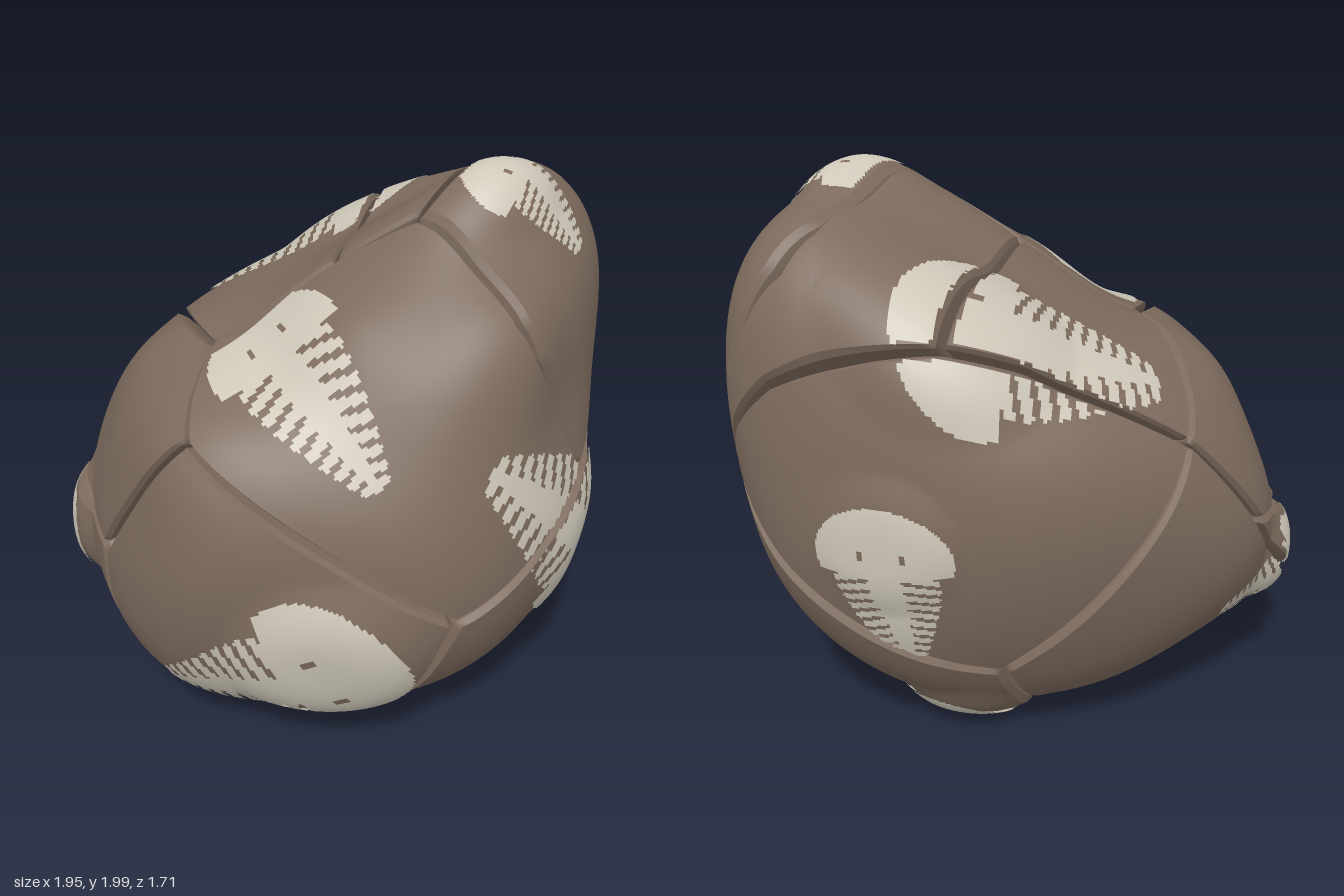
import * as THREE from 'three';
import { mergeGeometries } from 'three/addons/utils/BufferGeometryUtils.js';

const V = (a) => new THREE.Vector3(...a);
const CENTRE = V([0, 0.95, 0]);
const dirOf = (p) => p.clone().sub(CENTRE).normalize();

// Junctions where the cracks meet
const J = {
  A: [-0.46, 1.24, 0.58], B: [0.28, 1.83, 0.13], C: [0.86, 0.98, 0.29], D: [0.42, 0.67, 0.76],
  E: [-0.4, 1.39, 0.16], F: [-0.55, 1.18, -0.51], G: [0.02, 1.67, 0.1], H: [0.95, 1.06, -0.4],
  I: [0.22, 1.55, -0.69], L: [-0.78, 0.7, 0.37], M: [0.05, 0.4, -0.68], N: [-0.82, 0.82, -0.37],
  P: [-0.16, 0.03, 0.12], Q: [-0.72, 0.32, 0.34],
};
// Points the cracks pass through between two junctions
const VIA = {
  BC: [[0.46, 1.74, 0.3], [0.61, 1.6, 0.44], [0.67, 1.47, 0.45], [0.74, 1.26, 0.37]],
  BH: [[0.44, 1.86, -0.1], [0.625, 1.86, -0.39], [0.76, 1.74, -0.5], [0.87, 1.56, -0.52], [0.93, 1.35, -0.49]],
  IH: [[0.6, 1.5, -0.675], [0.8, 1.4, -0.61], [0.93, 1.21, -0.5]],
  IF: [[-0.02, 1.47, -0.63]],
  EF: [[-0.53, 1.33, -0.2]],
  CH: [[0.94, 1.03, -0.05]],
  DP: [[0.27, 0.35, 0.67], [0.1, 0.1, 0.45], [-0.01, 0.04, 0.27]],
  HM: [[0.78, 0.78, -0.63]],
  QP: [[-0.56, 0.15, 0.35], [-0.34, 0.06, 0.22]],
  NQ: [[-0.88, 0.46, -0.03]],
};
// Each piece of the boulder: loop of junctions and, if needed, its middle
const PIECES = {
  frontLowerPiece: ['ADPQL'], frontUpperPiece: ['AEGBCD'], rightTopPiece: ['BHC'],
  topLeftPiece: ['EGIF'], topRightPiece: ['GBHI', [0.62, 1.69, -0.57]], rightLowerPiece: ['CHMPD'],
  backUpperPiece: ['IHMF'], leftUpperPiece: ['AEFNL'], leftChipPiece: ['NLQ'], backLowerPiece: ['FNQPM'],
};
// Further points on the boulder, away from the cracks
const HULL = [
  [0.53, 1.98, -0.03], [0.74, 1.87, -0.15], [0.82, 1.76, -0.05], [0.88, 1.62, 0], [0.925, 1.39, -0.05],
  [0.96, 1.18, -0.2], [0.58, 1.77, 0.2], [0.1, 1.24, 0.67], [0.05, 1.59, 0.4], [-0.2, 1.38, 0.44],
  [0.35, 1, 0.76], [0.3, 1.59, 0.47], [-0.43, 0.74, 0.74], [-0.1, 0.58, 0.75], [-0.57, 0.36, 0.57],
  [0.1, 0.3, 0.66], [-0.3, 0.14, 0.5], [0.86, 0.55, 0.1], [0.74, 0.28, 0.08], [0.92, 0.8, -0.1],
  [0.7, 0.5, 0.45], [0.5, 0.14, -0.12], [0.25, 0.05, -0.08], [0.2, 1.1, -0.84], [0.55, 0.95, -0.76],
  [0.3, 0.25, -0.58], [0.15, 0.08, -0.35], [-0.25, 0.95, -0.77], [-0.5, 0.75, -0.62], [-0.35, 0.17, -0.35],
  [-0.6, 0.2, -0.05], [-0.65, 1.28, 0], [-0.82, 0.96, 0], [-0.62, 0.95, 0.55], [-0.74, 0.95, -0.43],
  [-0.88, 0.58, 0.08], [-0.2, 1.5, -0.2], [0.28, 1.76, -0.22], [0.5, 1.77, -0.49], [0.72, 1.1, -0.69],
  [-0.25, 1.27, -0.69], [0.3, 1.35, -0.79], [-0.7, 0.45, -0.35], [0.15, 1.7, 0.25],
];
// Fossils: head end, tail end, width, height of the mound, share of the head broken off
const FOSSILS = [
  [[0.25, 0.65, 0.76], [-0.62, 0.22, 0.53], 0.74, 0.07, 0],
  [[-0.35, 1.54, 0.06], [0.19, 1.11, 0.73], 0.46, 0, 0.13],
  [[0.9, 0.51, 0.04], [0.47, 1.22, 0.68], 0.62, 0.03, 0],
  [[0.4, 1.96, -0.01], [0.84, 1.66, 0.05], 0.38, 0.03, 0],
  [[0.39, 1.6, -0.58], [-0.5, 1.32, -0.38], 0.74, 0.04, 0],
  [[0.42, 1.12, -0.83], [0.33, 0.46, -0.72], 0.5, 0.03, 0],
  [[0.02, 0.04, -0.46], [0.62, 0.15, -0.04], 0.52, 0.06, 0],
  [[-0.93, 0.64, 0.1], [-0.76, 0.42, -0.43], 0.42, 0.07, 0],
].map(([a, b, w, rise, cut]) => ({ a: V(a), b: V(b), w, rise, cut, head: dirOf(V(a).lerp(V(b), 0.28)) }));

// Smooth radius over all directions, fitted to the listed points
const anchors = [...Object.values(J), ...Object.values(VIA).flat(), ...HULL].map(V);
const knots = anchors.map(dirOf);
const MEAN = 0.9;
function kernel(a, b) {
  const d = 2 * a.distanceTo(b);
  return (1 + d) * Math.exp(-d);
}
function solve(rows) {
  const n = rows.length;
  for (let c = 0; c < n; c++) {
    for (let r = c + 1; r < n; r++) {
      const f = rows[r][c] / rows[c][c];
      for (let k = c; k <= n; k++) rows[r][k] -= f * rows[c][k];
    }
  }
  const x = [];
  for (let r = n - 1; r >= 0; r--) {
    let s = rows[r][n];
    for (let k = r + 1; k < n; k++) s -= rows[r][k] * x[k];
    x[r] = s / rows[r][r];
  }
  return x;
}
const weights = solve(knots.map((a, i) => [
  ...knots.map((b, j) => kernel(a, b) + (i === j ? 0.004 : 0)),
  anchors[i].distanceTo(CENTRE) - MEAN,
]));
function surface(dir, lift = 0, scale = 1) {
  let r = MEAN;
  knots.forEach((k, i) => { r += weights[i] * kernel(k, dir); });
  // low mound under the fossil heads
  for (const f of FOSSILS) {
    const q = 1 - dir.distanceToSquared(f.head) / (0.36 * f.w * f.w);
    if (q > 0) r += f.rise * q * q * (3 - 2 * q);
  }
  return dir.clone().multiplyScalar((r + lift) * scale).add(CENTRE);
}

// Directions along a crack, from one junction up to the next
function crack(a, b) {
  const via = VIA[a + b] || [...(VIA[b + a] || [])].reverse();
  const stops = [J[a], ...via, J[b]].map((p) => dirOf(V(p)));
  const out = [];
  for (let i = 0; i + 1 < stops.length; i++) {
    const n = Math.max(3, Math.ceil(stops[i].distanceTo(stops[i + 1]) / 0.03));
    for (let k = 0; k < n; k++) out.push(stops[i].clone().lerp(stops[i + 1], k / n).normalize());
  }
  return out;
}

// Closed rings of points joined into a skin
function skin(rings) {
  const n = rings[0].length, idx = [];
  for (let r = 0; r + 1 < rings.length; r++) {
    for (let i = 0; i < n; i++) {
      const a = r * n + i, b = r * n + (i + 1) % n;
      idx.push(a, a + n, b + n, a, b + n, b);
    }
  }
  const g = new THREE.BufferGeometry().setFromPoints(rings.flat());
  g.setIndex(idx);
  g.computeVertexNormals();
  return g;
}

// One piece: curved face, bevelled rim and crack wall running down to the middle
const GAP = 0.017, BEVEL = 0.032;
function pieceGeometry(loop, middle) {
  const mid = middle ? dirOf(V(middle)) : loop.reduce((s, d) => s.add(d), new THREE.Vector3()).normalize();
  const turn = loop.reduce((s, d, i) => s.add(d.clone().cross(loop[(i + 1) % loop.length])), new THREE.Vector3());
  if (turn.dot(mid) < 0) loop.reverse();
  const ring = (t, inset, lift, scale) => loop.map((d) => {
    const k = t * Math.max(0, 1 - inset / d.distanceTo(mid));
    return surface(mid.clone().lerp(d, k).normalize(), lift, scale);
  });
  const face = [];
  for (let i = 0; i <= 16; i++) face.push(ring(i / 16, BEVEL, 0));
  const rim = ring(1, GAP, -0.02);
  return mergeGeometries([skin(face), skin([face[16], rim]), skin([rim, ring(1, GAP, -0.02, 0.03)])]);
}

// Fossil outline: rounded head, ribbed body tapering to the tail
function inFossil(u, v) {
  const x = Math.abs(u);
  if (v < 0.4) {
    const eye = Math.hypot(x - 0.3, (v - 0.28) * 1.6) < 0.045;
    return !eye && x * x + ((v - 0.3) / 0.3) ** 2 < 1;
  }
  const half = 0.76 - 0.56 * ((v - 0.4) / 0.6) ** 1.5;
  if (x > half) return false;
  const rib = (v - 0.1 * x) * 15 % 1;
  return x < 0.3 * half || rib < 0.72 - 0.14 * (x / half);
}
function fossilGeometry({ a, b, w, cut }, seams) {
  const NU = 54, NV = 76, pts = [], dirs = [], idx = [];
  const along = b.clone().sub(a);
  const out = dirOf(a.clone().lerp(b, 0.5));
  const side = along.clone().cross(out).normalize();
  for (let j = 0; j <= NV; j++) {
    for (let i = 0; i <= NU; i++) {
      const d = dirOf(a.clone().addScaledVector(along, j / NV).addScaledVector(out, 0.1)
        .addScaledVector(side, (i / NU - 0.5) * w));
      dirs.push(d);
      pts.push(surface(d, 0.007));
    }
  }
  const near = seams.filter((s) => s.distanceTo(out) < 0.95);
  for (let j = 0; j < NV; j++) {
    for (let i = 0; i < NU; i++) {
      const p = j * (NU + 1) + i, q = p + NU + 1, v = (j + 0.5) / NV;
      if (v < cut || !inFossil((i + 0.5) / NU * 2 - 1, v)) continue;
      if (near.some((s) => s.distanceToSquared(dirs[p]) < 0.03 ** 2)) continue;
      idx.push(p, p + 1, q + 1, p, q + 1, q);
    }
  }
  const g = new THREE.BufferGeometry().setFromPoints(pts);
  g.setIndex(idx);
  g.computeVertexNormals();
  return g;
}

export function createModel() {
  const material = (name, color) => Object.assign(new THREE.MeshStandardMaterial({ color }), { name });
  const stone = material('brown stone', 0x7d6b5d);
  const bone = material('pale fossil', 0xcfc8b9);
  bone.side = THREE.DoubleSide;

  const rock = new THREE.Group();
  rock.name = 'fossilBoulder';
  const add = (name, geo, mat) => {
    const mesh = new THREE.Mesh(geo, mat);
    mesh.name = name;
    rock.add(mesh);
  };

  // Boulder pieces
  const seams = [];
  for (const [name, [loop, middle]] of Object.entries(PIECES)) {
    const edge = [...loop].flatMap((c, i) => crack(c, loop[(i + 1) % loop.length]));
    seams.push(...edge);
    add(name, pieceGeometry(edge, middle), stone);
  }

  // Fossils
  FOSSILS.forEach((f, i) => add(`fossil${i + 1}`, fossilGeometry(f, seams), bone));
  return rock;
}
